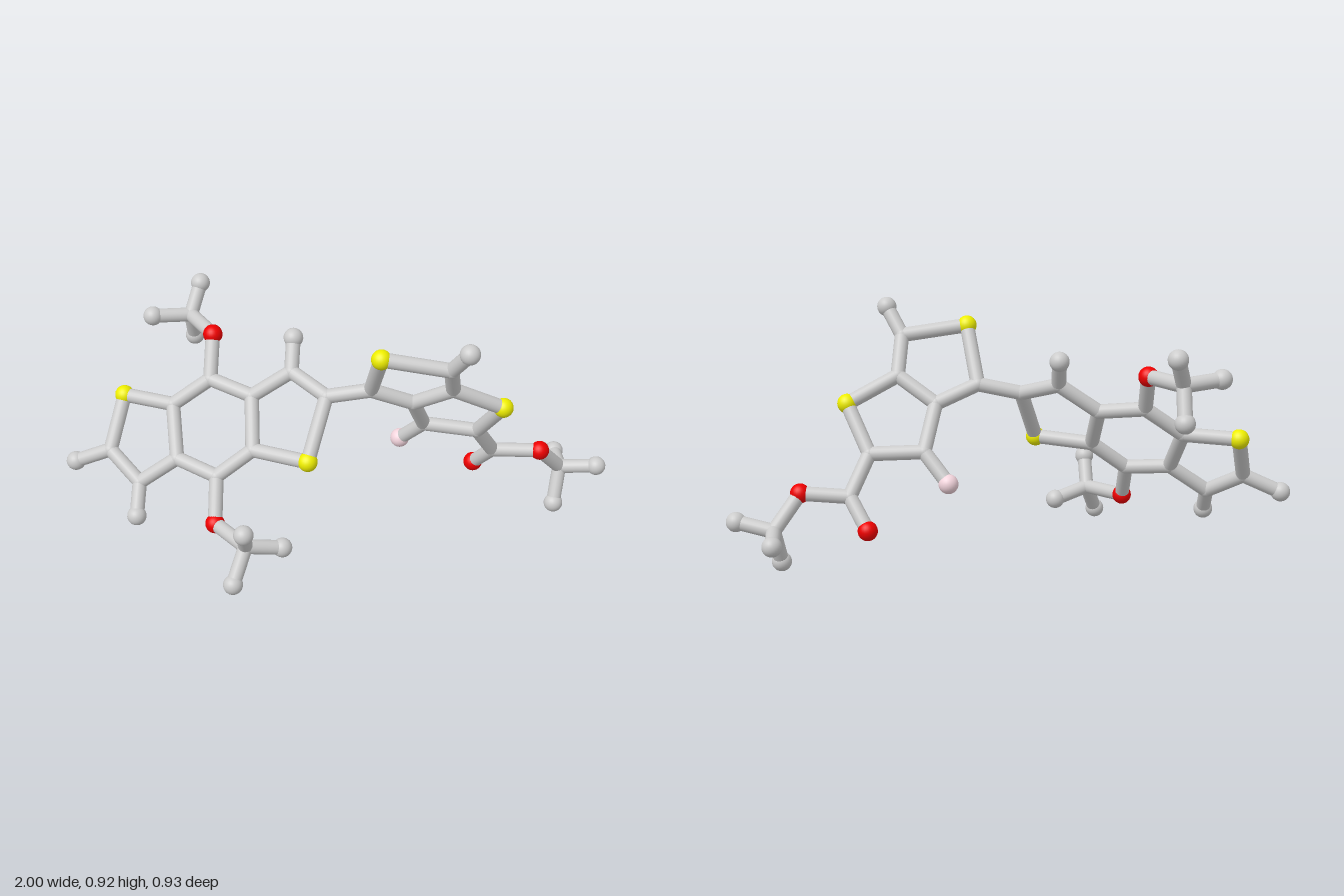
import * as THREE from 'three';

const BALL = 0.035, STICK = 0.026, JOINT = 0.027;

// Atom positions [x, y, z]; the first letter of each key gives its kind:
// c = ring or chain joint, e = end ball, s = sulfur, o = oxygen, f = fluorine
const CORE = {
  // left fused three-ring system
  s1: [-0.79, 0.465, -0.16], c2: [-0.835, 0.305, -0.035], c3: [-0.72, 0.228, 0.057],
  c4: [-0.58, 0.325, 0.04], c5: [-0.603, 0.47, -0.095], c6: [-0.43, 0.305, 0.117],
  c7: [-0.3, 0.402, 0.088], c8: [-0.31, 0.545, -0.045], c9: [-0.465, 0.567, -0.117],
  c10: [-0.167, 0.643, -0.055], c11: [-0.04, 0.6, 0.035], s12: [-0.1, 0.413, 0.17],
  e13: [-0.97, 0.245, -0.045], e14: [-0.725, 0.137, 0.14], e15: [-0.163, 0.738, -0.13],
};
const SIDE_CHAINS = {
  // upper and lower methoxy arms
  o20: [-0.46, 0.698, -0.213], c21: [-0.557, 0.693, -0.362], e22: [-0.525, 0.79, -0.43],
  e23: [-0.692, 0.706, -0.323], e24: [-0.555, 0.575, -0.417],
  o25: [-0.43, 0.173, 0.222], c26: [-0.31, 0.174, 0.35], e27: [-0.307, 0.28, 0.422],
  e28: [-0.185, 0.137, 0.304], e29: [-0.35, 0.067, 0.43],
};
const RIGHT_RINGS = {
  // right fused two-ring system
  c30: [0.115, 0.632, 0.04], s31: [0.15, 0.828, 0.158], c32: [0.385, 0.793, 0.163],
  c33: [0.4, 0.66, 0.072], c34: [0.265, 0.568, 0.015], c35: [0.307, 0.415, -0.085],
  c36: [0.5, 0.405, -0.063], s37: [0.58, 0.567, 0.035], e38: [0.44, 0.89, 0.218],
  f39: [0.223, 0.312, -0.142],
  // ester arm
  c40: [0.567, 0.27, -0.138], o41: [0.503, 0.165, -0.208], o42: [0.74, 0.28, -0.123],
  c43: [0.828, 0.163, -0.19], e44: [0.96, 0.19, -0.16], e45: [0.81, 0.037, -0.13],
  e46: [0.82, 0.145, -0.32],
};

// Each chain is a run of atoms joined by sticks
const CHAINS = [
  's1 c2 c3 c4 c5 s1', 'c4 c6 c7 c8 c9 c5', 'c8 c10 c11 s12 c7',
  'c2 e13', 'c3 e14', 'c10 e15',
  'c9 o20 c21 e22', 'c21 e23', 'c21 e24',
  'c6 o25 c26 e27', 'c26 e28', 'c26 e29',
  'c11 c30 s31 c32 c33 c34 c30', 'c34 c35 c36 s37 c33', 'c32 e38', 'c35 f39',
  'c36 c40 o41', 'c40 o42 c43 e44', 'c43 e45', 'c43 e46',
];

const material = (color) => new THREE.MeshStandardMaterial({ color });

export function createModel() {
  const model = new THREE.Group();
  model.name = 'molecule';
  const atoms = { ...CORE, ...SIDE_CHAINS, ...RIGHT_RINGS };
  const grey = material(0xcccccc);
  const kinds = {
    c: ['carbonJoint', JOINT, grey],
    e: ['endBall', BALL, grey],
    s: ['sulfurBall', BALL, material(0xeeee00)],
    o: ['oxygenBall', BALL, material(0xee0000)],
    f: ['fluorineBall', BALL, material(0xf2d4dc)],
  };

  // Balls
  const balls = new THREE.Group();
  balls.name = 'atoms';
  for (const [key, position] of Object.entries(atoms)) {
    const [name, radius, mat] = kinds[key[0]];
    const ball = new THREE.Mesh(new THREE.SphereGeometry(radius, 24, 16), mat);
    ball.name = name;
    ball.position.set(...position);
    balls.add(ball);
  }

  // Sticks between neighbouring balls
  const sticks = new THREE.Group();
  sticks.name = 'bonds';
  const up = new THREE.Vector3(0, 1, 0);
  for (const chain of CHAINS) {
    const points = chain.split(' ').map((key) => new THREE.Vector3(...atoms[key]));
    for (let i = 1; i < points.length; i++) {
      const a = points[i - 1], b = points[i];
      const stick = new THREE.Mesh(
        new THREE.CylinderGeometry(STICK, STICK, a.distanceTo(b), 20, 1, true), grey);
      stick.name = 'bond';
      stick.position.lerpVectors(a, b, 0.5);
      stick.quaternion.setFromUnitVectors(up, b.clone().sub(a).normalize());
      sticks.add(stick);
    }
  }

  model.add(balls, sticks);
  return model;
}
